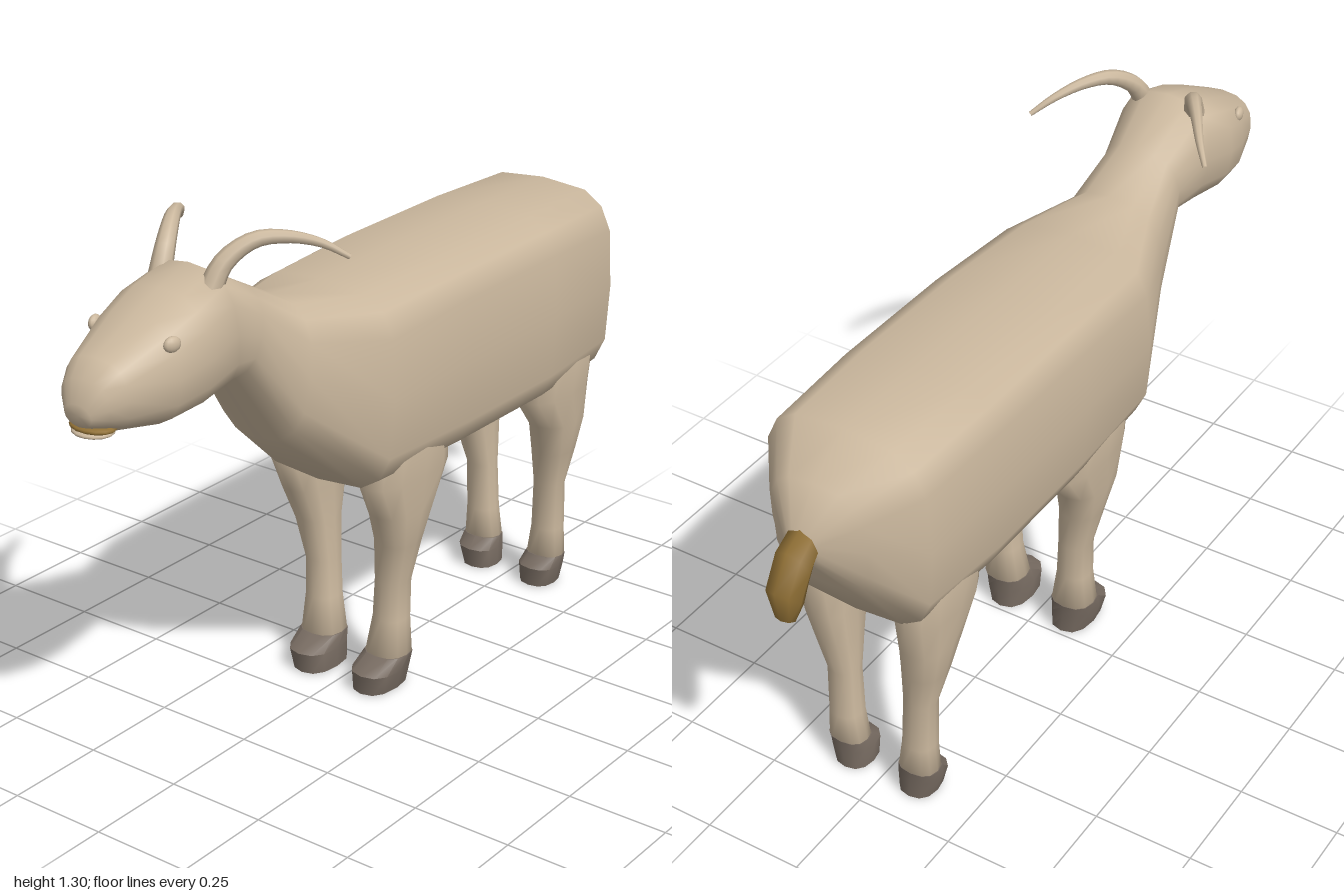
import * as THREE from 'three';
import { toCreasedNormals } from 'three/addons/utils/BufferGeometryUtils.js';

const material = (name, color) => {
  const m = new THREE.MeshStandardMaterial({ color });
  m.name = name;
  return m;
};

// Lofts closed rings. Each section: [aY, aZ, bY, bZ, halfWidth, centreX, squareness],
// where a and b are the two ends of the ring in the side plane.
function loft(sections, sides = 16, crease = 0) {
  const pos = [], index = [];
  const soft = (v, n) => Math.sign(v) * Math.pow(Math.abs(v), 2 / n);
  for (const [aY, aZ, bY, bZ, w, cx = 0, n = 2] of sections) {
    for (let j = 0; j < sides; j++) {
      const t = (j / sides) * Math.PI * 2;
      const s = soft(Math.sin(t), n) / 2, c = soft(Math.cos(t), n);
      pos.push(cx + w * c, (aY + bY) / 2 + s * (aY - bY), (aZ + bZ) / 2 + s * (aZ - bZ));
    }
  }
  const last = (sections.length - 1) * sides;
  for (let i = 0; i < last; i += sides) {
    for (let j = 0; j < sides; j++) {
      const k = (j + 1) % sides;
      index.push(i + j, i + k, i + sides + k, i + j, i + sides + k, i + sides + j);
    }
  }
  // end caps
  for (const [sec, start, flip] of [[sections[0], 0, true], [sections.at(-1), last, false]]) {
    const centre = pos.length / 3;
    pos.push(sec[5] ?? 0, (sec[0] + sec[2]) / 2, (sec[1] + sec[3]) / 2);
    for (let j = 0; j < sides; j++) {
      const p = start + j, q = start + ((j + 1) % sides);
      index.push(centre, flip ? q : p, flip ? p : q);
    }
  }
  const g = new THREE.BufferGeometry();
  g.setAttribute('position', new THREE.Float32BufferAttribute(pos, 3));
  g.setIndex(index);
  g.computeVertexNormals();
  return crease ? toCreasedNormals(g, crease) : g;
}

// Tube that narrows from r0 to r1 along its path
function taperedTube(points, r0, r1) {
  const curve = new THREE.CatmullRomCurve3(points.map((p) => new THREE.Vector3(...p)));
  const segs = 16, radial = 8;
  const g = new THREE.TubeGeometry(curve, segs, 1, radial);
  const p = g.attributes.position, v = new THREE.Vector3();
  for (let i = 0; i < p.count; i++) {
    const u = Math.floor(i / (radial + 1)) / segs;
    const c = curve.getPointAt(u);
    v.fromBufferAttribute(p, i).sub(c).multiplyScalar(r0 + (r1 - r0) * u).add(c);
    p.setXYZ(i, v.x, v.y, v.z);
  }
  return g;
}

export function createModel() {
  const goat = new THREE.Group();
  goat.name = 'goat';
  const coat = material('coat', 0xcbb89e);
  const hoofGrey = material('hoofGrey', 0x786c62);
  const ochre = material('ochre', 0x8f6f35);

  const add = (name, geometry, mat) => {
    const mesh = new THREE.Mesh(geometry, mat);
    mesh.name = name;
    goat.add(mesh);
    return mesh;
  };
  const ellipsoid = (name, mat, at, size) => {
    const mesh = add(name, new THREE.SphereGeometry(1, 14, 10), mat);
    mesh.position.set(...at);
    mesh.scale.set(...size);
    return mesh;
  };

  // Trunk, neck and head in one skin, from rump to muzzle
  add('body', loft([
    [0.92, -0.9, 0.83, -0.895, 0.045, 0, 2.5],
    [1.01, -0.845, 0.72, -0.82, 0.125, 0, 2.8],
    [1.08, -0.73, 0.58, -0.725, 0.215, 0, 3.6],
    [1.08, -0.46, 0.57, -0.46, 0.225, 0, 4],
    [1.075, -0.1, 0.57, -0.1, 0.225, 0, 4],
    [1.065, 0.19, 0.57, 0.21, 0.218, 0, 3.6],
    [1.08, 0.37, 0.75, 0.43, 0.135, 0, 2.6],
    [1.15, 0.5, 0.945, 0.56, 0.105, 0, 2.4],
    [1.23, 0.645, 0.945, 0.62, 0.128, 0, 2.6],
    [1.2, 0.74, 0.932, 0.73, 0.14, 0, 2.6],
    [1.165, 0.82, 0.925, 0.82, 0.127, 0, 2.6],
    [1.105, 0.94, 0.945, 0.93, 0.09, 0, 2.5],
    [1.07, 0.98, 0.957, 0.965, 0.068, 0, 2.3],
    [1.02, 1.0, 0.968, 0.995, 0.038, 0, 2],
  ]), coat);

  // Mouth and lower lip
  ellipsoid('mouth', ochre, [0, 0.959, 0.955], [0.058, 0.011, 0.04]);
  ellipsoid('lowerLip', coat, [0, 0.948, 0.955], [0.05, 0.01, 0.042]);

  // Tail, hanging down from the rump
  add('tail', loft([
    [0.85, -0.885, 0.93, -0.885, 0.042],
    [0.8, -0.915, 0.895, -0.95, 0.046],
    [0.755, -0.93, 0.82, -1.0, 0.043],
    [0.73, -0.95, 0.735, -0.985, 0.026],
  ], 8), ochre);

  // Leg rows: [y, frontZ, backZ, halfWidth, centreX]
  const frontLeg = [
    [0.74, 0.19, -0.08, 0.07, 0.14], [0.57, 0.195, -0.1, 0.064, 0.132],
    [0.48, 0.15, -0.035, 0.062, 0.132], [0.39, 0.115, -0.002, 0.053, 0.122],
    [0.28, 0.1, 0.01, 0.041, 0.107], [0.18, 0.102, 0.012, 0.043, 0.104],
    [0.085, 0.115, 0.01, 0.055, 0.1],
  ];
  const backLeg = [
    [0.74, -0.46, -0.74, 0.07, 0.14], [0.57, -0.465, -0.725, 0.064, 0.132],
    [0.48, -0.54, -0.707, 0.061, 0.13], [0.39, -0.57, -0.69, 0.052, 0.12],
    [0.29, -0.6, -0.673, 0.04, 0.107], [0.16, -0.6, -0.68, 0.041, 0.104],
    [0.08, -0.6, -0.68, 0.05, 0.1],
  ];
  const rings = (rows, side) => rows.map(([y, f, b, w, x]) => [y, f, y, b, w, x * side, 2.4]);

  for (const side of [1, -1]) {
    const label = side > 0 ? 'left' : 'right';
    for (const [end, leg, toe] of [['Front', frontLeg, 0.172], ['Back', backLeg, -0.566]]) {
      add(label + end + 'Leg', loft(rings(leg, side), 12), coat);

      // Hoof with a sloping toe and a pale sole
      const [y, f, b, w] = leg.at(-1);
      add(label + end + 'Hoof', loft(rings([
        [y + 0.002, f + 0.002, b - 0.001, w + 0.002, 0.1],
        [0.055, toe, b - 0.001, w + 0.005, 0.097],
        [0.003, toe - 0.006, b, w - 0.003, 0.092],
      ], side), 12, 0.7), hoofGrey);
      const sole = add(label + end + 'Sole', new THREE.CylinderGeometry(1, 1, 0.004, 12), coat);
      sole.position.set(0.092 * side, 0.002, (toe + b) / 2);
      sole.scale.set(w * 0.65, 1, (toe - b) * 0.35);
    }

    // Horn sweeping back and outwards
    add(label + 'Horn', taperedTube([
      [0.07, 1.18, 0.66], [0.082, 1.24, 0.625], [0.115, 1.28, 0.565],
      [0.155, 1.28, 0.505], [0.2, 1.257, 0.44], [0.24, 1.222, 0.395],
    ].map(([x, py, z]) => [x * side, py, z]), 0.027, 0.006), coat);

    // Eye, set almost flush in the cheek
    const eye = ellipsoid(label + 'Eye', coat, [0.108 * side, 1.122, 0.823], [0.012, 0.018, 0.021]);
    eye.rotation.y = -0.25 * side;
  }
  return goat;
}
